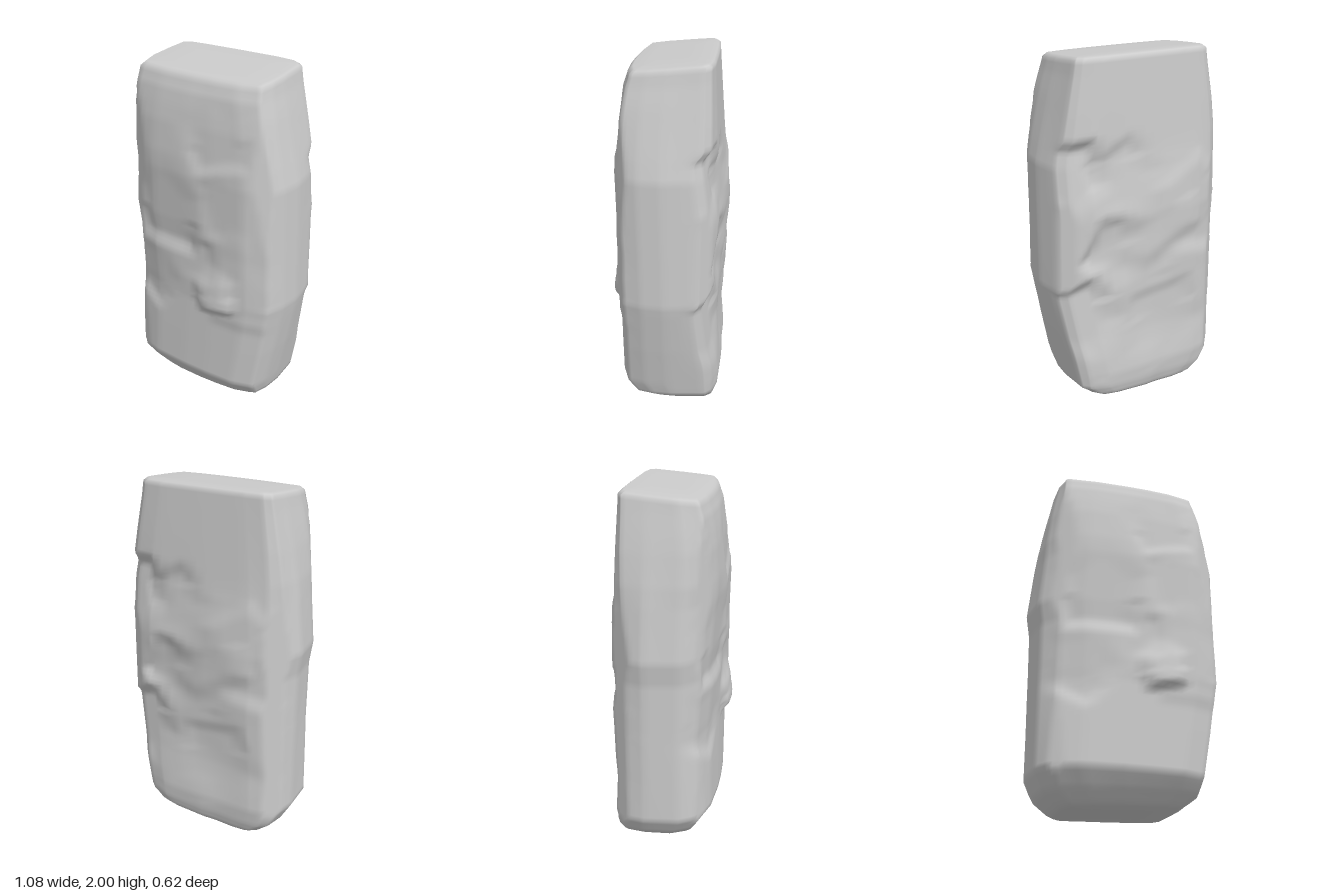
import * as THREE from 'three';

const { lerp, clamp, smoothstep, degToRad } = THREE.MathUtils;

// Height levels: y, left x, right x, front z, back z, squareness
const LEVELS = [
  [0.00, 0, 0, -0.06, -0.06, 0.5],
  [0.00, -0.33, 0.30, 0.12, -0.25, 0.5],
  [0.02, -0.37, 0.34, 0.15, -0.265, 0.5],
  [0.08, -0.45, 0.41, 0.20, -0.28, 0.4],
  [0.18, -0.51, 0.43, 0.265, -0.29, 0.3],
  [0.42, -0.512, 0.48, 0.262, -0.28, 0.2],
  [0.66, -0.515, 0.525, 0.258, -0.28, 0.1],
  [0.72, -0.515, 0.535, 0.262, -0.28, 0.1],
  [1.00, -0.52, 0.532, 0.272, -0.283, 0],
  [1.13, -0.54, 0.53, 0.28, -0.287, 0],
  [1.42, -0.51, 0.525, 0.285, -0.28, 0.1],
  [1.53, -0.495, 0.50, 0.279, -0.272, 0.4],
  [1.70, -0.465, 0.46, 0.265, -0.262, 0.7],
  [1.90, -0.425, 0.415, 0.235, -0.25, 0.9],
  [1.98, -0.41, 0.40, 0.21, -0.245, 1],
  [2.00, -0.39, 0.38, 0.185, -0.22, 1],
  [2.00, 0, 0, 0, 0, 1],
];

// Outline of a section: worn middle and squarer top, as fractions of the extents
const WORN = [[1, 0], [0.98, 0.45], [0.91, 0.8], [0.66, 0.97], [0.28, 1], [-0.05, 1], [-0.5, 0.94],
  [-0.77, 0.77], [-0.94, 0.4], [-1, -0.3], [-0.94, -0.7], [-0.82, -0.91], [-0.6, -1], [0, -1],
  [0.6, -0.97], [0.84, -0.87], [0.94, -0.7]];
const SQUARE = [[1, 0], [1, 0.45], [0.97, 0.84], [0.66, 0.96], [0.3, 1], [-0.05, 1], [-0.5, 0.97],
  [-0.94, 0.87], [-1, 0.4], [-1, -0.3], [-0.98, -0.84], [-0.88, -0.95], [-0.6, -0.98], [0, -1],
  [0.6, -1], [0.88, -0.95], [0.97, -0.82]];

// Fractures: x, y, face (1 front, -1 back), radius, depth (negative bulges),
// direction of the deep edge in degrees
const CHIPS = [
  [-0.18, 1.22, 1, 0.30, 0.03, -90],
  [0.16, 1.70, 1, 0.24, 0.018, -75],
  [0.30, 1.30, 1, 0.24, 0.012, 190],
  [-0.30, 0.76, 1, 0.24, 0.022, -115],
  [0.02, 0.92, 1, 0.17, 0.015, 10],
  [0.16, 0.78, 1, 0.16, -0.045, -80],
  [0.32, 0.80, 1, 0.26, -0.012, -90],
  [0, 1.16, -1, 0.34, -0.022, -120],
  [-0.30, 0.62, -1, 0.30, -0.02, 100],
  [-0.30, 1.15, -1, 0.26, -0.014, 60],
  [0.12, 0.22, -1, 0.26, -0.012, -90],
  [0.14, 1.33, -1, 0.22, 0.025, 60],
  [0.16, 0.92, -1, 0.22, 0.04, 30],
  [0.40, 0.52, -1, 0.26, 0.05, 70],
  [0.44, 1.36, -1, 0.22, 0.05, 85],
  [-0.12, 0.42, -1, 0.28, 0.02, 80],
];

// Flat cuts that shear off corners: normal x, y, z and a point on the cut
const CUTS = [
  [0.55, 0.05, 0.83, 0.445, 1.5, 0.22],
  [-0.5, 0, 0.85, -0.37, 1, 0.222],
  [0.6, 0, -0.78, 0.46, 1.1, -0.22],
  [-0.7, 0, -0.68, -0.465, 1.4, -0.215],
  [-0.5, -0.6, 0.62, -0.43, 0.16, 0.19],
  [0.5, -0.55, 0.67, 0.38, 0.13, 0.19],
].map(([nx, ny, nz, x, y, z]) => new THREE.Plane().setFromNormalAndCoplanarPoint(
  new THREE.Vector3(nx, ny, nz).normalize(), new THREE.Vector3(x, y, z)));

function chipAndCut(p) {
  for (const [x, y, face, radius, depth, angle] of CHIPS) {
    if (p.z * face <= 0) continue;
    const dx = (p.x - x) / radius, dy = (p.y - y) / radius, a = degToRad(angle);
    // Five-sided fracture with sloping sides
    let dist = 0;
    for (let k = 0; k < 5; k++) {
      const b = a + k * Math.PI * 0.4;
      dist = Math.max(dist, dx * Math.cos(b) + dy * Math.sin(b));
    }
    if (dist >= 1) continue;
    const along = dx * Math.cos(a) + dy * Math.sin(a);
    const slope = along > 0.3 ? 0.35 : 0.6;
    const fade = smoothstep(clamp((1 - dist) / slope, 0, 1), 0, 1);
    const onFace = smoothstep(Math.abs(p.z), 0.08, 0.22);
    p.z -= face * depth * fade * onFace * (0.6 + 0.5 * along);
  }
  for (const cut of CUTS) {
    const over = cut.distanceToPoint(p);
    if (over > 0) p.addScaledVector(cut.normal, -over);
  }
}

function surfacePoint(level, u) {
  const [y, left, right, front, back, square] = level;
  const count = WORN.length, i = Math.floor(u) % count, j = (i + 1) % count, t = u - Math.floor(u);
  const at = (k, c) => lerp(WORN[k][c], SQUARE[k][c], square);
  const fx = lerp(at(i, 0), at(j, 0), t), fz = lerp(at(i, 1), at(j, 1), t);
  const p = new THREE.Vector3(
    lerp(left, right, (fx + 1) / 2), y, lerp(back, front, (fz + 1) / 2));
  // Slanted top and underside
  p.y -= 0.09 * (p.z + 0.23) * smoothstep(y, 1.75, 1.98);
  p.y += 0.045 * Math.max(0, p.x + 0.35) * (1 - smoothstep(y, 0, 0.2));
  chipAndCut(p);
  return p;
}

function slabGeometry() {
  const perSide = 5, columns = WORN.length * perSide;
  // Refine the levels so that the fractures have room
  const rows = [];
  LEVELS.forEach((level, i) => {
    const next = LEVELS[i + 1];
    if (!next) return rows.push(level);
    const steps = Math.max(2, Math.ceil((next[0] - level[0]) / 0.025));
    for (let s = 0; s < steps; s++) rows.push(level.map((v, k) => lerp(v, next[k], s / steps)));
  });

  const positions = [], index = [];
  rows.forEach((level, r) => {
    for (let c = 0; c < columns; c++) {
      positions.push(...surfacePoint(level, c / perSide).toArray());
      if (r === rows.length - 1) continue;
      const a = r * columns + c, b = r * columns + (c + 1) % columns;
      index.push(a, a + columns, b, b, a + columns, b + columns);
    }
  });
  const geometry = new THREE.BufferGeometry();
  geometry.setAttribute('position', new THREE.Float32BufferAttribute(positions, 3));
  geometry.setIndex(index);
  geometry.computeVertexNormals();
  return geometry;
}

export function createModel() {
  const group = new THREE.Group();
  group.name = 'standingStone';
  const slab = new THREE.Mesh(slabGeometry(), new THREE.MeshStandardMaterial({ color: 0xcccccc }));
  slab.name = 'stoneSlab';
  group.add(slab);
  return group;
}
